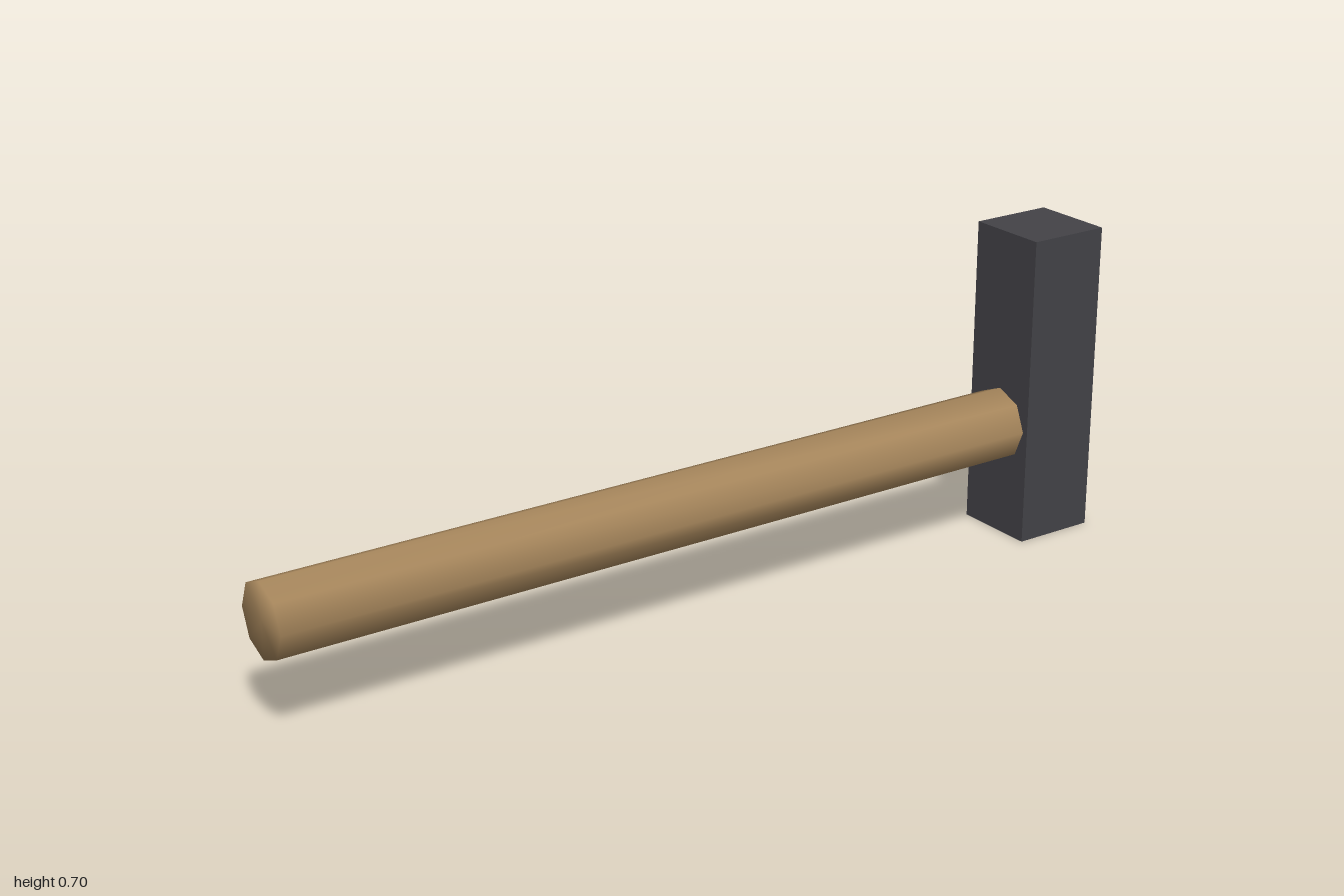
import * as THREE from 'three';
import { mergeVertices } from 'three/addons/utils/BufferGeometryUtils.js';

export function createModel() {
  const wood = new THREE.MeshStandardMaterial({ name: 'wood', color: 0xa5855b });
  const iron = new THREE.MeshStandardMaterial({ name: 'dark iron', color: 0x434247 });

  const hammer = new THREE.Group();
  hammer.name = 'hammer';

  // Square-section head, standing upright
  const head = new THREE.Mesh(new THREE.BoxGeometry(0.19, 0.7, 0.19), iron);
  head.name = 'head';
  head.position.set(0.905, 0.35, 0);
  hammer.add(head);

  // Eight-sided handle, sides and ends sharing smooth normals
  const left = -1, right = 0.82;
  let shaft = new THREE.CylinderGeometry(0.082, 0.082, right - left, 8);
  shaft.deleteAttribute('normal');
  shaft.deleteAttribute('uv');
  shaft = mergeVertices(shaft, 1e-4);
  shaft.computeVertexNormals();
  shaft.rotateZ(-Math.PI / 2);

  const handle = new THREE.Mesh(shaft, wood);
  handle.name = 'handle';
  handle.position.set((left + right) / 2, 0.257, 0);
  hammer.add(handle);

  return hammer;
}
